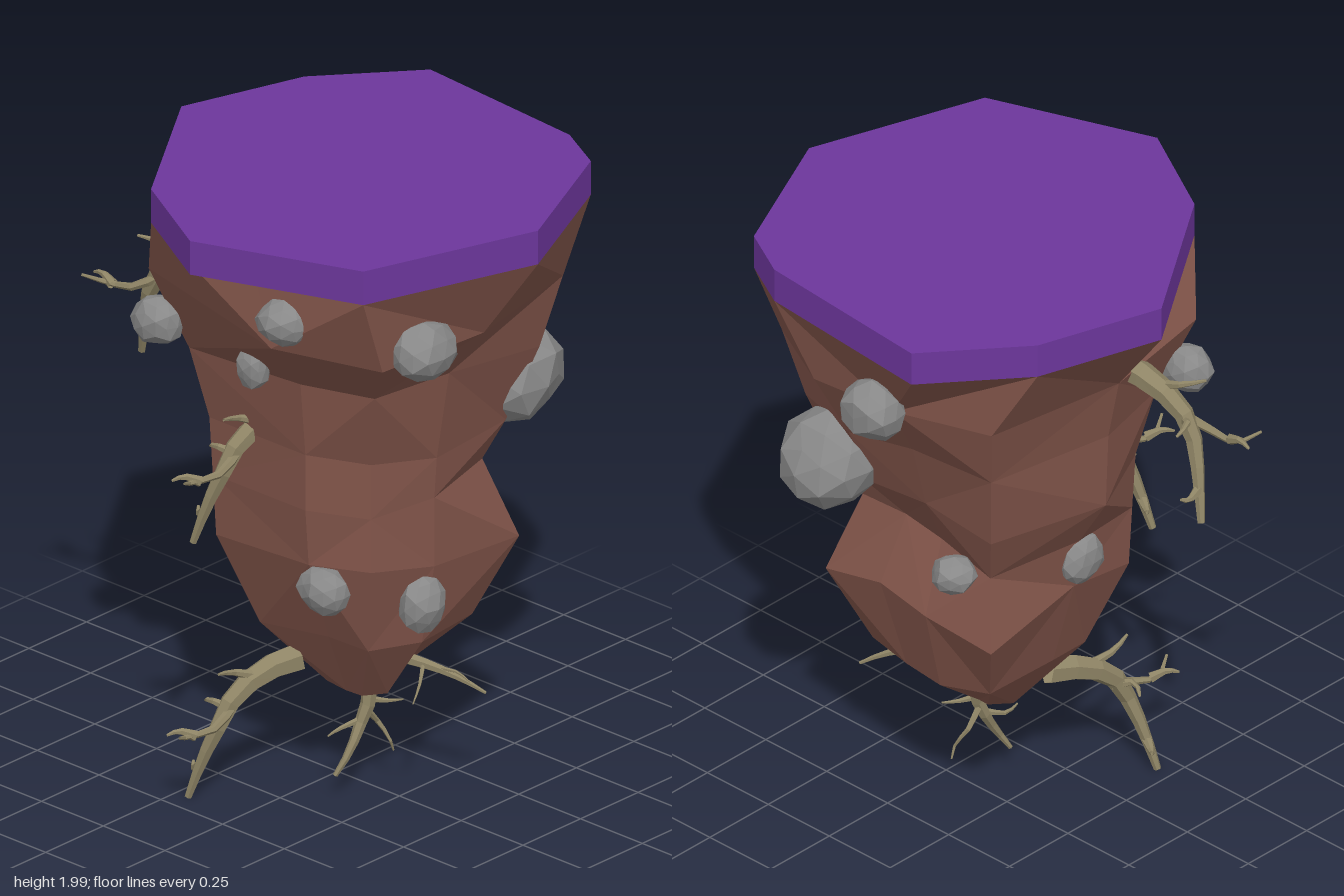
import * as THREE from 'three';

const mat = (color, extra = {}) => new THREE.MeshStandardMaterial({ color, flatShading: true, ...extra });
const grassMat = mat(0x6c369b);
const earthMat = mat(0x82554a);
const rockMat = mat(0x888888);
const rootMat = mat(0x8e8465, { side: THREE.DoubleSide });

// Repeatable noise in -1..1
const noise = (a, b = 0, c = 0) => {
  const s = Math.sin(a * 12.99 + b * 78.23 + c * 37.72) * 43758.55;
  return (s - Math.floor(s)) * 2 - 1;
};

// Outline of the flat top as [x, z]
const outline = [[0.755, -0.06], [0.57, 0.5], [0.05, 0.695], [-0.28, 0.51], [-0.605, 0.03],
  [-0.48, -0.37], [-0.24, -0.66], [0.37, -0.61], [0.54, -0.52]];

function makeGrass() {
  const shape = new THREE.Shape(outline.map(([x, z]) => new THREE.Vector2(x, -z)));
  const geo = new THREE.ExtrudeGeometry(shape, { depth: 0.11, bevelEnabled: false });
  geo.rotateX(-Math.PI / 2).translate(0, 1.89, 0);
  const mesh = new THREE.Mesh(geo, grassMat);
  mesh.name = 'grassTop';
  return mesh;
}

// Craggy earth column: height, then the radius along each of these directions (degrees from +x towards +z)
const angles = [0, 40, 76, 140, 175, 225, 255, 285, 312];
const rings = [
  [1.65, 0.51, 0.60, 0.53, 0.62, 0.50, 0.62, 0.58, 0.60, 0.61],
  [1.44, 0.37, 0.41, 0.35, 0.50, 0.46, 0.55, 0.46, 0.48, 0.54],
  [1.20, 0.32, 0.32, 0.32, 0.44, 0.45, 0.50, 0.38, 0.40, 0.44],
  [1.03, 0.31, 0.32, 0.32, 0.43, 0.35, 0.42, 0.28, 0.28, 0.37],
  [0.82, 0.31, 0.33, 0.30, 0.42, 0.33, 0.51, 0.38, 0.37, 0.48],
  [0.54, 0.26, 0.25, 0.18, 0.29, 0.25, 0.36, 0.29, 0.28, 0.34],
  [0.34, 0.12, 0.10, 0.07, 0.09, 0.10, 0.07, 0.05, 0.05, 0.07],
];

function makeEarth() {
  const n = angles.length, cx = 0.1, cz = 0.02, pos = [], index = [];
  // The rim follows the top, but is cut back at the front corner
  outline.forEach(([x, z], i) => pos.push(i === 2 ? 0.12 : x, 1.89, i === 2 ? 0.5 : z));
  rings.forEach(([y, ...radii], k) => radii.forEach((r, i) => {
    const a = THREE.MathUtils.degToRad(angles[i]);
    const lift = k < rings.length - 1 ? 0.03 * noise(i + 1, k + 1) : 0;
    pos.push(cx + Math.cos(a) * r, y + lift, cz + Math.sin(a) * r);
  }));
  for (let k = 0; k < rings.length; k++) {
    for (let i = 0; i < n; i++) {
      const a = k * n + i, b = k * n + (i + 1) % n, c = a + n, d = b + n;
      if ((i + k) % 2) index.push(a, b, d, a, d, c);
      else index.push(a, b, c, b, d, c);
    }
  }
  // Bottom cap
  const last = rings.length * n;
  pos.push(cx, 0.33, cz);
  for (let i = 0; i < n; i++) index.push(last + n, last + i, last + (i + 1) % n);
  const geo = new THREE.BufferGeometry();
  geo.setAttribute('position', new THREE.Float32BufferAttribute(pos, 3));
  geo.setIndex(index);
  geo.computeVertexNormals();
  const mesh = new THREE.Mesh(geo, earthMat);
  mesh.name = 'earthColumn';
  return mesh;
}

// Rough boulder: dented faceted ball
function makeRock([x, y, z, rx, ry, rz], seed) {
  const geo = new THREE.IcosahedronGeometry(1, 1);
  const p = geo.attributes.position, v = new THREE.Vector3();
  for (let i = 0; i < p.count; i++) {
    v.fromBufferAttribute(p, i);
    const q = v.toArray().map((t) => Math.round(t * 100) / 100);
    v.multiplyScalar(0.98 + 0.08 * noise(q[0] + seed, q[1], q[2]));
    p.setXYZ(i, v.x, v.y, v.z);
  }
  geo.computeVertexNormals();
  const mesh = new THREE.Mesh(geo, rockMat);
  mesh.position.set(x, y, z);
  mesh.scale.set(rx, ry, rz);
  mesh.name = 'rock' + (seed + 1);
  return mesh;
}

// Tapering twig through a few points
function makeTwig(points, radius, tip = 0.25) {
  const curve = new THREE.CatmullRomCurve3(points.map((q) => new THREE.Vector3(...q)));
  const segs = points.length + 1, sides = 6;
  const geo = new THREE.TubeGeometry(curve, segs, radius, sides);
  const p = geo.attributes.position, v = new THREE.Vector3();
  for (let i = 0; i < p.count; i++) {
    const t = Math.floor(i / (sides + 1)) / segs, c = curve.getPointAt(t);
    v.fromBufferAttribute(p, i).sub(c).multiplyScalar(1 - (1 - tip) * t).add(c);
    p.setXYZ(i, v.x, v.y, v.z);
  }
  geo.computeVertexNormals();
  return new THREE.Mesh(geo, rootMat);
}

// A root: the first path is the main stem, the rest are twigs
function makeRoot(name, paths, radius) {
  const group = new THREE.Group();
  group.name = name;
  paths.forEach((path, i) => {
    const twig = makeTwig(path, i ? radius * 0.38 : radius);
    twig.name = i ? 'twig' : 'stem';
    group.add(twig);
  });
  return group;
}

// Large root growing out along +z and drooping
const largeRoot = [
  [[0.0, 0.0, -0.02], [-0.04, -0.02, 0.08], [-0.07, -0.08, 0.18], [-0.09, -0.17, 0.23], [-0.13, -0.28, 0.255],
    [-0.17, -0.41, 0.275]],
  [[-0.07, -0.1, 0.18], [-0.06, -0.15, 0.27], [-0.09, -0.16, 0.36], [-0.06, -0.13, 0.43]],
  [[-0.08, -0.16, 0.34], [-0.11, -0.14, 0.38], [-0.13, -0.15, 0.41]],
  [[-0.04, -0.03, 0.11], [-0.07, 0, 0.19], [-0.06, 0.02, 0.26]],
  [[-0.07, -0.12, 0.19], [-0.13, -0.1, 0.22], [-0.17, -0.12, 0.2]],
  [[-0.14, -0.31, 0.26], [-0.18, -0.33, 0.24], [-0.2, -0.32, 0.22]],
];

// Small roots hanging from the tip and the side
const tipRoot = [
  [[0.13, 0.4, 0.02], [0.15, 0.32, 0.02], [0.14, 0.23, 0.05], [0.14, 0.15, 0.1], [0.12, 0.08, 0.14]],
  [[0.14, 0.27, 0.03], [0.14, 0.2, -0.03], [0.17, 0.16, -0.04], [0.17, 0.11, -0.06]],
  [[0.14, 0.24, 0.05], [0.11, 0.22, 0.11], [0.12, 0.22, 0.17]],
  [[0.15, 0.3, 0.02], [0.18, 0.29, -0.02], [0.21, 0.29, -0.06]],
];
const sideRoot = [
  [[0.26, 0.45, -0.03], [0.33, 0.43, -0.07], [0.4, 0.4, -0.11], [0.46, 0.36, -0.15]],
  [[0.33, 0.43, -0.07], [0.4, 0.43, -0.09], [0.46, 0.42, -0.08]],
  [[0.3, 0.44, -0.05], [0.34, 0.4, 0.01], [0.37, 0.37, 0.07]],
];

// Boulders: position, then half sizes
const rocks = [
  [0.26, 1.74, 0.51, 0.09, 0.075, 0.08],
  [0.6, 1.67, 0.27, 0.085, 0.095, 0.115],
  [-0.355, 1.51, 0.4, 0.085, 0.08, 0.07],
  [0.04, 1.49, 0.41, 0.055, 0.075, 0.05],
  [0.32, 1.28, -0.405, 0.155, 0.155, 0.18],
  [0.23, 0.78, 0.31, 0.09, 0.075, 0.06],
  [0.39, 0.7, 0.05, 0.065, 0.095, 0.08],
  [-0.03, 1.69, -0.61, 0.105, 0.1, 0.09],
  [-0.09, 1.0, -0.32, 0.07, 0.06, 0.07],
  [-0.24, 0.94, 0.07, 0.05, 0.085, 0.08],
];

export function createModel() {
  const model = new THREE.Group();
  model.name = 'floatingIsland';
  model.add(makeGrass(), makeEarth());
  rocks.forEach((r, i) => model.add(makeRock(r, i)));

  // Three large roots: position and turn about the upright axis
  [['lowerFrontRoot', -0.03, 0.42, 0.16, 0], ['upperSideRoot', -0.34, 1.63, 0.16, -1.08],
    ['middleFrontRoot', -0.01, 1.26, 0.16, 0]].forEach(([name, x, y, z, turn]) => {
    const root = makeRoot(name, largeRoot, 0.046);
    root.position.set(x, y, z);
    root.rotation.y = turn;
    model.add(root);
  });
  model.add(makeRoot('tipRoot', tipRoot, 0.03), makeRoot('sideRoot', sideRoot, 0.02));
  return model;
}
